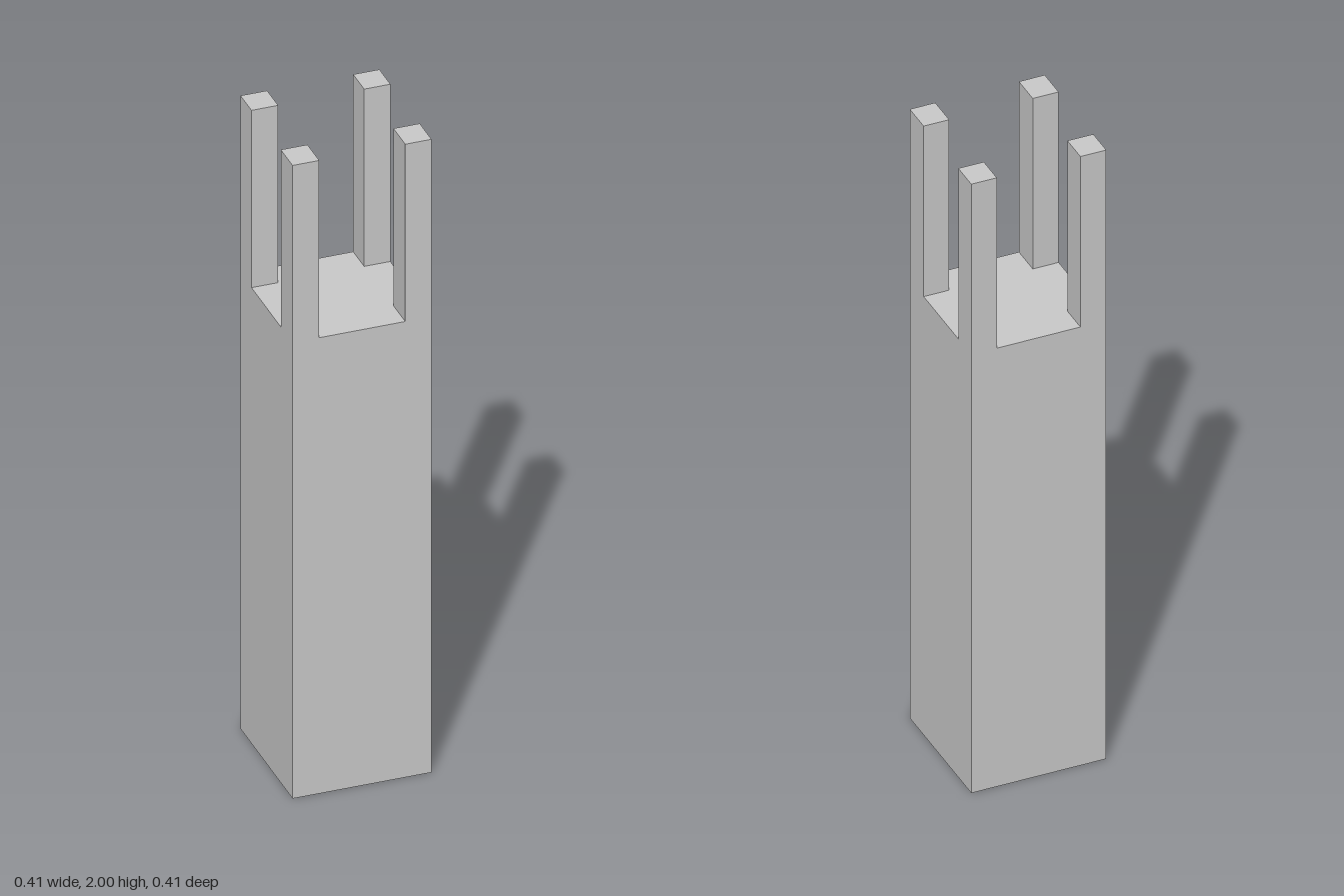
import * as THREE from 'three';

export function createModel() {
  const group = new THREE.Group();
  const material = new THREE.MeshStandardMaterial({ color: 0xcccccc, flatShading: true });
  const half = 0.2025, bodyTop = 1.44, top = 2;

  // Box given by its lower and upper corners
  const addBox = (name, [x0, y0, z0], [x1, y1, z1]) => {
    const mesh = new THREE.Mesh(new THREE.BoxGeometry(x1 - x0, y1 - y0, z1 - z0), material);
    mesh.position.set((x0 + x1) / 2, (y0 + y1) / 2, (z0 + z1) / 2);
    mesh.name = name;
    group.add(mesh);
  };

  // Square shaft
  addBox('shaft', [-half, 0, -half], [half, bodyTop, half]);

  // Four corner posts, flush with the shaft's outer faces
  const xSpans = { Right: [-half, -0.125], Left: [0.126, half] };
  const zSpans = { back: [-half, -0.117], front: [0.111, half] };
  for (const [side, [x0, x1]] of Object.entries(xSpans)) {
    for (const [end, [z0, z1]] of Object.entries(zSpans)) {
      addBox(`${end}${side}Post`, [x0, bodyTop, z0], [x1, top, z1]);
    }
  }
  return group;
}
